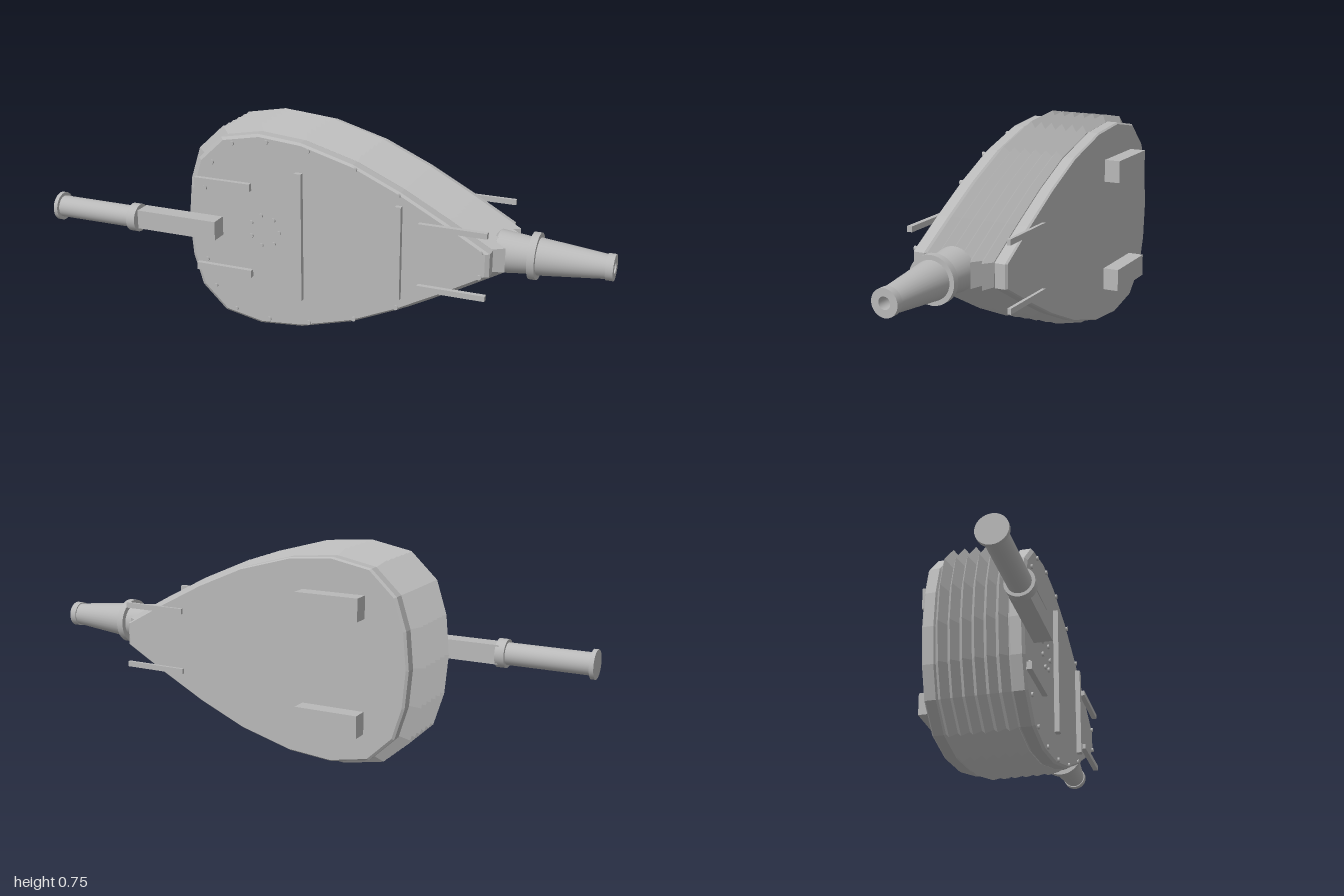
import * as THREE from 'three';

const MID_Y = 0.375, MID_X = 0.067;

// upper half of the teardrop outline, from the narrow tip to the round end
const half = [[0.62, 0.04], [0.47, 0.125], [0.31, 0.21], [0.14, 0.285], [-0.05, 0.338],
  [-0.21, 0.352], [-0.35, 0.325], [-0.44, 0.24], [-0.475, 0.13], [-0.487, 0]];
const outline = [...half, ...half.slice(0, -1).reverse().map(([x, y]) => [x, -y])];

// closed solid through scaled copies of the outline; rings are [z, scale], back to front
function loft(rings) {
  const pos = [], index = [], n = outline.length;
  for (const [z, s] of rings)
    for (const [x, y] of outline) pos.push(MID_X + (x - MID_X) * s, MID_Y + y * s, z);
  for (let k = 0; k < rings.length - 1; k++)
    for (let i = 0; i < n; i++) {
      const a = k * n + i, b = k * n + (i + 1) % n;
      index.push(a, b, b + n, a, b + n, a + n);
    }
  const back = pos.length / 3, front = back + 1, last = (rings.length - 1) * n;
  pos.push(MID_X, MID_Y, rings[0][0], MID_X, MID_Y, rings[rings.length - 1][0]);
  for (let i = 0; i < n; i++) {
    const j = (i + 1) % n;
    index.push(back, j, i, front, last + i, last + j);
  }
  const g = new THREE.BufferGeometry();
  g.setAttribute('position', new THREE.Float32BufferAttribute(pos, 3));
  g.setIndex(index);
  const flat = g.toNonIndexed();
  flat.computeVertexNormals();
  return flat;
}

// turned part along x; profile is [x, radius] with sharp steps between segments
function turned(profile, sides) {
  const pts = [];
  profile.forEach(([x, r], i) => {
    pts.push(new THREE.Vector2(r, x));
    if (i > 0 && i < profile.length - 1) pts.push(new THREE.Vector2(r, x));
  });
  const g = new THREE.LatheGeometry(pts, sides);
  g.rotateZ(-Math.PI / 2);
  return g;
}

export function createModel() {
  const model = new THREE.Group();
  model.name = 'fireplaceBellows';
  const grey = new THREE.MeshStandardMaterial({ color: 0xb8b8b8 });
  grey.name = 'grey';

  const add = (name, geometry, x = 0, y = 0, z = 0) => {
    const mesh = new THREE.Mesh(geometry, grey);
    mesh.name = name;
    mesh.position.set(x, y, z);
    model.add(mesh);
    return mesh;
  };
  const box = (name, x0, x1, y0, y1, z0, z1) => add(name,
    new THREE.BoxGeometry(x1 - x0, y1 - y0, z1 - z0), (x0 + x1) / 2, (y0 + y1) / 2, (z0 + z1) / 2);
  // the same box above and below the centre line
  const boxPair = (name, x0, x1, y0, y1, z0, z1) => {
    box(name + 'Upper', x0, x1, MID_Y + y0, MID_Y + y1, z0, z1);
    box(name + 'Lower', x0, x1, MID_Y - y1, MID_Y - y0, z0, z1);
  };

  // bevelled boards
  add('frontBoard', loft([[0.1, 0.98], [0.108, 1], [0.145, 1], [0.153, 0.975]]));
  add('backBoard', loft([[-0.187, 0.985], [-0.181, 1], [-0.146, 1], [-0.14, 0.98]]));

  // six pleats
  const pleats = [[-0.14, 0.99]];
  for (let i = 0; i < 6; i++) pleats.push([-0.12 + i * 0.04, 1.062], [-0.1 + i * 0.04, 0.99]);
  add('pleatedSkin', loft(pleats));

  // nozzle with collar and bore
  add('nozzle', turned([[0.59, 0], [0.59, 0.045], [0.615, 0.074], [0.725, 0.062], [0.725, 0.08],
    [0.75, 0.08], [0.75, 0.064], [0.975, 0.041], [0.975, 0.045], [1, 0.045],
    [1, 0.02], [0.93, 0.02], [0.93, 0]], 32), 0, MID_Y, 0);

  // handle: flat arm and round grip with end rings
  box('handleArm', -0.67, -0.35, 0.342, 0.41, 0.153, 0.216);
  add('handleGrip', turned([[-1, 0], [-1, 0.051], [-0.985, 0.051], [-0.985, 0.039], [-0.693, 0.039],
    [-0.693, 0.05], [-0.66, 0.05], [-0.66, 0]], 32), 0, MID_Y, 0.193);

  // strips on the front board
  box('longCrossStrip', -0.065, -0.04, 0.145, 0.61, 0.15, 0.171);
  box('shortCrossStrip', 0.298, 0.32, 0.21, 0.542, 0.15, 0.171);
  boxPair('frontStrip', -0.45, -0.235, 0.147, 0.174, 0.15, 0.171);

  // tip straps on both faces and feet on the back
  boxPair('frontTipStrap', 0.38, 0.615, 0.1, 0.119, 0.153, 0.171);
  boxPair('backTipStrap', 0.38, 0.615, 0.1, 0.119, -0.198, -0.186);
  boxPair('backFoot', -0.33, -0.1, 0.158, 0.236, -0.243, -0.18);

  // rivets along the rim and in a small circle
  const rivet = new THREE.CylinderGeometry(0.008, 0.008, 0.012, 12).rotateX(Math.PI / 2);
  const rim = [[-0.416, 0.135], [-0.385, 0.233], [-0.305, 0.31], [-0.174, 0.328],
    [-0.02, 0.315], [0.15, 0.27], [0.304, 0.2], [0.59, 0.042]];
  for (const [x, y] of rim)
    for (const side of [1, -1]) add('rimRivet', rivet, x, MID_Y + side * y, 0.154);
  for (let i = 0; i < 7; i++) {
    const a = Math.PI * 2 * i / 7;
    add('ventRivet', rivet, -0.187 + 0.056 * Math.cos(a), 0.38 + 0.056 * Math.sin(a), 0.154);
  }
  return model;
}
